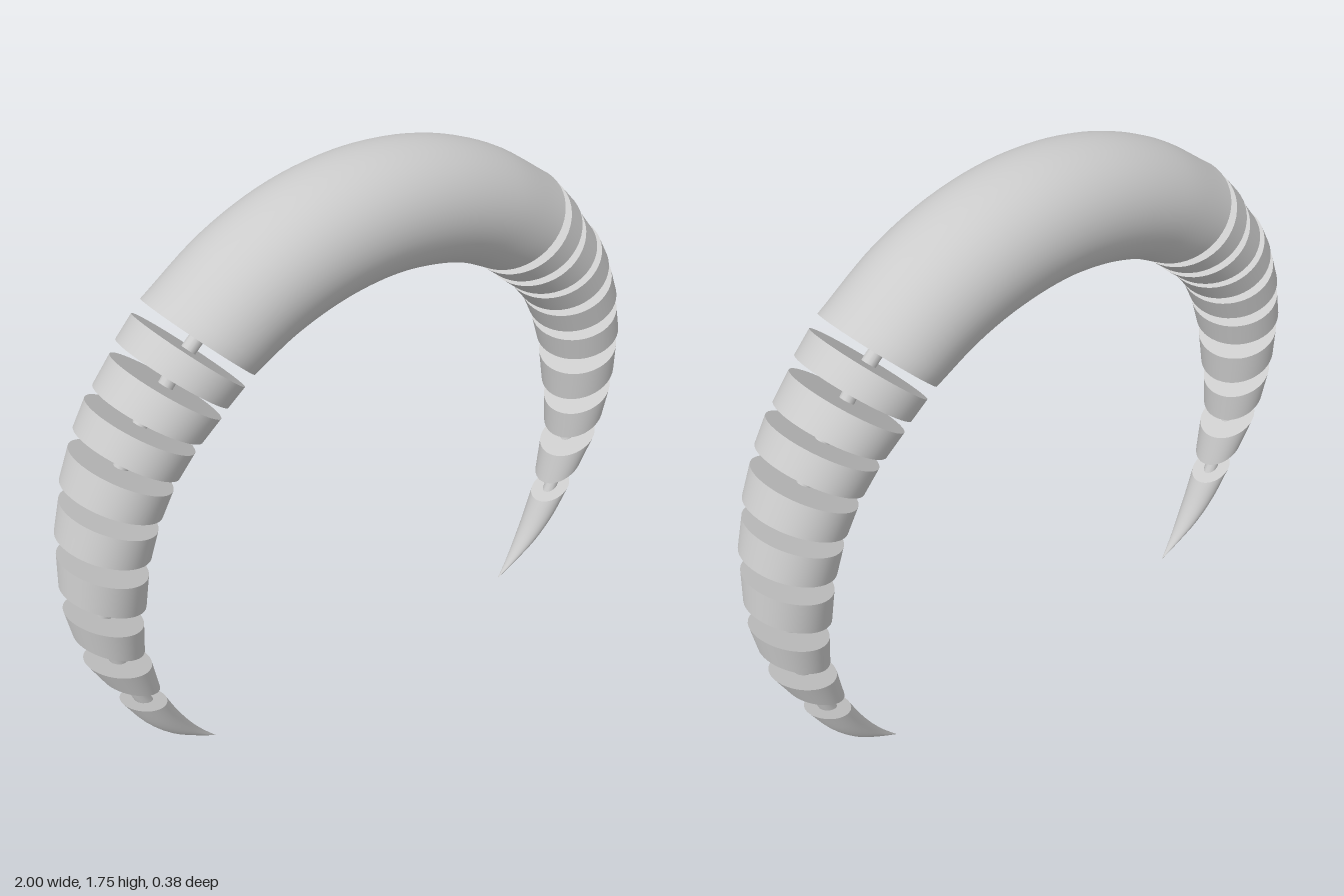
import * as THREE from 'three';

const SIDES = 48;
const material = new THREE.MeshStandardMaterial({ color: 0xcccccc, flatShading: false });

// A section is [outerX, outerY, innerX, innerY, halfDepth]: an ellipse across the horn.
const mirrored = (sections) => sections.map(([ox, oy, ix, iy, d]) => [-ox, oy, -ix, iy, d]).reverse();

// Skin a row of elliptical sections and close both ends with flat caps.
function loft(sections, name) {
  const positions = [], indices = [];
  const addRing = ([ox, oy, ix, iy, d]) => {
    const start = positions.length / 3;
    for (let j = 0; j < SIDES; j++) {
      const t = (j / SIDES) * Math.PI * 2, c = Math.cos(t) / 2;
      positions.push((ox + ix) / 2 + (ox - ix) * c, (oy + iy) / 2 + (oy - iy) * c, d * Math.sin(t));
    }
    return start;
  };
  const rings = sections.map(addRing);
  for (let i = 0; i + 1 < rings.length; i++) {
    for (let j = 0; j < SIDES; j++) {
      const k = (j + 1) % SIDES, a = rings[i], b = rings[i + 1];
      indices.push(a + j, a + k, b + k, a + j, b + k, b + j);
    }
  }
  // Caps have their own vertices, which keeps the rims sharp
  const first = addRing(sections[0]), last = addRing(sections[sections.length - 1]);
  for (let j = 1; j + 1 < SIDES; j++) {
    indices.push(first, first + j + 1, first + j, last, last + j, last + j + 1);
  }
  const geometry = new THREE.BufferGeometry();
  geometry.setAttribute('position', new THREE.Float32BufferAttribute(positions, 3));
  geometry.setIndex(indices);
  geometry.computeVertexNormals();
  const mesh = new THREE.Mesh(geometry, material);
  mesh.name = name;
  return mesh;
}

// Fill in smooth sections between a few key ones.
function refine(sections, count) {
  const curve = (x, y, z) => new THREE.CatmullRomCurve3(
    sections.map((s) => new THREE.Vector3(s[x], s[y], z === undefined ? 0 : s[z])), false, 'catmullrom', 0.5);
  const outer = curve(0, 1, 4), inner = curve(2, 3);
  return Array.from({ length: count + 1 }, (_, i) => {
    const o = outer.getPoint(i / count), n = inner.getPoint(i / count);
    return [o.x, o.y, n.x, n.y, o.z];
  });
}

export function createModel() {
  const model = new THREE.Group();
  model.name = 'segmentedHorn';

  // Thick middle arch
  const archHalf = [
    [0.235, 1.722, 0.155, 1.379, 0.189],
    [0.455, 1.639, 0.3, 1.338, 0.186],
    [0.657, 1.507, 0.427, 1.274, 0.18],
  ];
  const arch = [...mirrored(archHalf), [0, 1.75, 0, 1.395, 0.19], ...archHalf];
  model.add(loft(refine(arch, 36), 'arch'));

  // Start and end section of each ring, from the arch downwards
  const ringSections = [
    [[0.687, 1.476, 0.457, 1.25, 0.178], [0.74, 1.42, 0.508, 1.21, 0.175]],
    [[0.762, 1.385, 0.53, 1.187, 0.172], [0.82, 1.315, 0.587, 1.142, 0.168]],
    [[0.848, 1.289, 0.61, 1.118, 0.165], [0.89, 1.22, 0.66, 1.06, 0.16]],
    [[0.912, 1.17, 0.68, 1.033, 0.157], [0.95, 1.085, 0.715, 0.965, 0.151]],
    [[0.96, 1.03, 0.732, 0.928, 0.147], [0.987, 0.94, 0.757, 0.848, 0.14]],
    [[0.992, 0.877, 0.77, 0.785, 0.131], [1.0, 0.78, 0.785, 0.68, 0.121]],
    [[1.0, 0.705, 0.797, 0.615, 0.11], [0.984, 0.61, 0.803, 0.515, 0.099]],
    [[0.967, 0.517, 0.783, 0.447, 0.088], [0.923, 0.428, 0.765, 0.337, 0.074]],
  ];

  // Pointed end
  const tipSections = [
    [0.88, 0.32, 0.745, 0.268, 0.06],
    [0.822, 0.216, 0.71, 0.187, 0.05],
    [0.755, 0.133, 0.668, 0.108, 0.036],
    [0.675, 0.065, 0.628, 0.048, 0.018],
    [0.591, 0.001, 0.589, 0.001, 0.001],
  ];

  // Thin rod running through the middle of the rings
  const rodSections = [archHalf[2], ...ringSections.flat(), tipSections[0], tipSections[1]];

  for (const side of [1, -1]) {
    const label = side > 0 ? 'left' : 'right';
    const orient = (sections) => (side > 0 ? sections : mirrored(sections));
    const arm = new THREE.Group();
    arm.name = label + 'Arm';
    ringSections.forEach((pair, i) => arm.add(loft(orient(pair), `${label}Ring${i + 1}`)));
    arm.add(loft(orient(refine(tipSections, 12)), label + 'Tip'));
    const path = new THREE.CatmullRomCurve3(rodSections.map(([ox, oy, ix, iy]) =>
      new THREE.Vector3(side * (ox + ix) / 2, (oy + iy) / 2, 0)));
    const rod = new THREE.Mesh(new THREE.TubeGeometry(path, 60, 0.021, 12), material);
    rod.name = label + 'Rod';
    arm.add(rod);
    model.add(arm);
  }
  return model;
}
